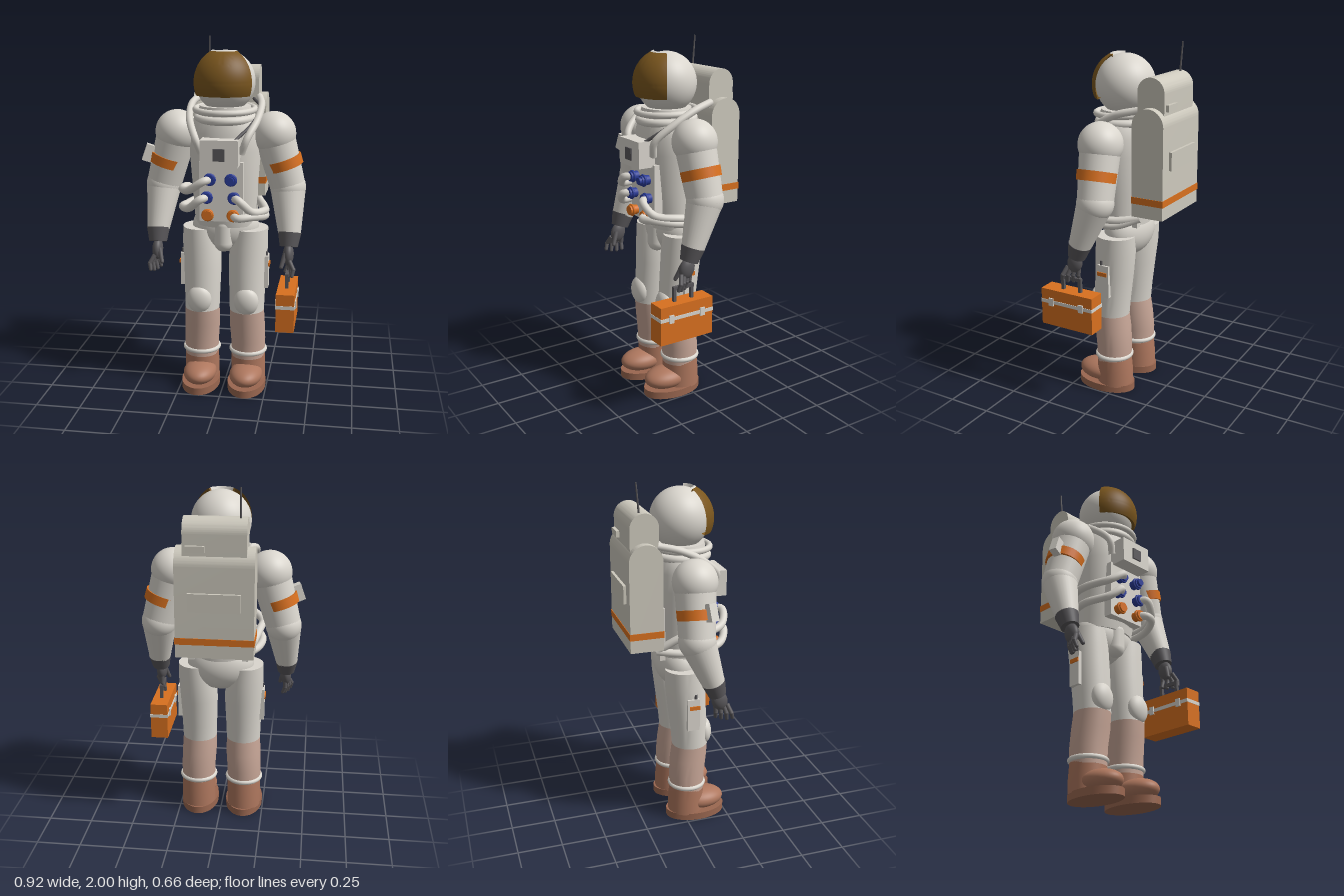
import * as THREE from 'three';
import { toCreasedNormals } from 'three/addons/utils/BufferGeometryUtils.js';

const mat = (name, color, double) => new THREE.MeshStandardMaterial({ name, color, side: double ? THREE.DoubleSide : THREE.FrontSide });
const V = (p) => new THREE.Vector3(...p);

export function createModel() {
  const model = new THREE.Group();
  model.name = 'astronaut';
  const M = {
    suit: mat('suitWhite', 0xdad6ce), pack: mat('packGrey', 0xcdc9bd), visor: mat('goldVisor', 0x7a561e, true),
    orange: mat('orange', 0xd8701f), blue: mat('blue', 0x2b3c98), dark: mat('darkGrey', 0x59575a),
    dust: mat('dustyLeg', 0xc6a596), boot: mat('boot', 0xae775e), sole: mat('sole', 0x9a6750),
  };

  const add = (name, geo, material, pos = [0, 0, 0], rot = [0, 0, 0]) => {
    const m = new THREE.Mesh(geo, material);
    m.name = name;
    m.position.set(...pos);
    m.rotation.set(...rot);
    model.add(m);
    return m;
  };
  const box = (name, size, material, pos, rot) => add(name, new THREE.BoxGeometry(...size), material, pos, rot);
  const ball = (name, radii, material, pos, rot) => {
    const m = add(name, new THREE.SphereGeometry(1, 40, 28), material, pos, rot);
    m.scale.set(...radii);
    return m;
  };
  // tapered cylinder from point a to point b
  const limb = (name, a, b, ra, rb, material) => {
    const d = V(b).sub(V(a));
    const m = add(name, new THREE.CylinderGeometry(rb, ra, d.length(), 32), material);
    m.position.copy(V(a).addScaledVector(d, 0.5));
    m.quaternion.setFromUnitVectors(new THREE.Vector3(0, 1, 0), d.normalize());
    return m;
  };
  const hose = (name, pts, r, material) =>
    add(name, new THREE.TubeGeometry(new THREE.CatmullRomCurve3(pts.map(V)), 48, r, 12), material);
  // closed body through horizontal elliptical rings [x, y, z, rx, rz], bottom to top
  const loft = (rings, n = 40) => {
    const all = [[...rings[0].slice(0, 3), 0, 0], ...rings, [...rings.at(-1).slice(0, 3), 0, 0]];
    const pos = [], idx = [];
    all.forEach(([x, y, z, rx, rz], j) => {
      for (let i = 0; i < n; i++) {
        const a = (i / n) * Math.PI * 2, k = j * n + i, k2 = j * n + ((i + 1) % n);
        pos.push(x + rx * Math.cos(a), y, z + rz * Math.sin(a));
        if (j < all.length - 1) idx.push(k, k + n, k2, k2, k + n, k2 + n);
      }
    });
    const g = new THREE.BufferGeometry();
    g.setAttribute('position', new THREE.Float32BufferAttribute(pos, 3));
    g.setIndex(idx);
    return toCreasedNormals(g, 0.8);
  };

  // helmet and visor
  ball('helmet', [0.165, 0.168, 0.165], M.suit, [0, 1.77, 0.025]);
  const arc = (r, t0, t1) => Array.from({ length: 25 }, (_, i) => {
    const t = t0 + ((t1 - t0) * i) / 24;
    return new THREE.Vector2(r * Math.sin(t), r * Math.cos(t));
  });
  const t0 = 0.48, t1 = 1.96;
  const profile = [...arc(0.185, t1, t0), ...arc(0.163, t0, t1), arc(0.185, t1, t0)[0]];
  add('visor', toCreasedNormals(new THREE.LatheGeometry(profile, 32, -1.02, 2.04), 0.6), M.visor, [0, 1.77, 0.025]);
  const rimArc = arc(0.186, t0 - 0.07, t0);
  add('visorRim', new THREE.LatheGeometry([...rimArc.reverse(), ...arc(0.165, t0 - 0.07, t0)], 32, -1.02, 2.04), M.suit, [0, 1.77, 0.025]);
  [[1.62, 0.163, 0.017], [1.575, 0.15, 0.022]].forEach(([y, R, r]) =>
    add('neckRing', new THREE.TorusGeometry(R, r, 14, 48), M.suit, [0, y, 0.025], [Math.PI / 2 + 0.04, 0, 0]));

  // torso and hips
  add('torso', loft([
    [0, 0.97, 0.01, 0.17, 0.125], [0, 1.04, 0.015, 0.175, 0.135], [0, 1.2, 0.02, 0.185, 0.15], [0, 1.4, 0.025, 0.2, 0.16],
    [0, 1.5, 0.025, 0.2, 0.16], [0, 1.56, 0.025, 0.18, 0.15], [0, 1.6, 0.025, 0.15, 0.14], [0, 1.64, 0.025, 0.14, 0.135],
  ]), M.suit);
  ball('hips', [0.19, 0.15, 0.125], M.suit, [0, 0.95, 0]);
  add('groinFlap', new THREE.CapsuleGeometry(0.053, 0.1, 10, 24), M.suit, [0, 0.925, 0.09]);

  // chest control box and connectors
  box('chestPanel', [0.24, 0.33, 0.05], M.suit, [0, 1.185, 0.155]);
  box('chestBox', [0.205, 0.145, 0.1], M.suit, [0, 1.41, 0.215]);
  box('chestScreen', [0.062, 0.066, 0.009], M.dark, [0, 1.405, 0.268]);
  [[1.26, 0.058, M.blue], [1.16, 0.075, M.blue], [1.062, 0.07, M.orange]].forEach(([y, x, m]) => {
    for (const s of [-1, 1]) {
      add('connector', new THREE.CylinderGeometry(0.027, 0.027, 0.06, 24), m, [s * x, y, 0.2], [Math.PI / 2, 0, 0]);
      add('connectorCollar', new THREE.TorusGeometry(0.027, 0.008, 10, 24), m, [s * x, y, 0.212]);
    }
  });
  add('connectorCap', new THREE.CylinderGeometry(0.02, 0.02, 0.02, 24), M.blue, [0.058, 1.26, 0.235], [Math.PI / 2, 0, 0]);

  // life support hoses
  [[-1, 0.058, 1.26, 1.18], [-1, 0.075, 1.16, 1.08], [1, 0.075, 1.16, 1.07], [1, 0.07, 1.062, 1.04]].forEach(([s, x, y, yLow]) =>
    hose('lifeSupportHose', [
      [s * x, y, 0.21], [s * (x + 0.03), y - 0.005, 0.245], [s * 0.17, yLow + 0.02, 0.215],
      [s * 0.23, yLow, 0.1], [s * 0.22, yLow - 0.01, -0.02], [s * 0.17, 1.08, -0.16],
    ], 0.022, M.suit));

  for (const s of [-1, 1]) {
    hose('shoulderHose', [
      [s * 0.17, 1.67, -0.15], [s * 0.195, 1.64, -0.03], [s * 0.185, 1.57, 0.1], [s * 0.14, 1.48, 0.19], [s * 0.11, 1.4, 0.18],
    ], 0.02, M.suit);
    box('packStrut', [0.035, 0.3, 0.03], M.suit, [s * 0.15, 1.17, -0.125]);

    // arm
    const shoulder = [s * 0.27, 1.49, 0.023], elbow = [s * 0.352, 1.19, 0.01], wrist = [s * 0.372, 0.94, 0.1];
    ball('shoulder', [0.122, 0.122, 0.122], M.suit, shoulder);
    limb('upperArm', shoulder, elbow, 0.112, 0.098, M.suit);
    limb('armBand', [s * 0.315, 1.354, 0.018], [s * 0.332, 1.302, 0.016], 0.109, 0.107, M.orange);
    ball('elbow', [0.1, 0.1, 0.102], M.suit, elbow);
    limb('forearm', elbow, wrist, 0.1, 0.062, M.suit);
    limb('gloveCuff', [s * 0.37, 0.875, 0.122], [s * 0.372, 0.95, 0.097], 0.05, 0.065, M.dark);

    // hand with four fingers and a thumb
    ball('palm', [0.03, 0.06, 0.045], M.dark, [s * 0.37, 0.835, 0.135], [-0.3, 0, 0]);
    for (let i = 0; i < 4; i++) {
      const k = i - 1.5;
      const a = [s * (0.372 + 0.004 * k), 0.81, 0.145 + 0.021 * k];
      const b = [s * (0.385 + 0.012 * k), 0.765, 0.155 + 0.026 * k];
      const c = [s * (0.375 + 0.014 * k), 0.72 + 0.008 * Math.abs(k), 0.162 + 0.028 * k];
      limb('finger', a, b, 0.013, 0.012, M.dark);
      limb('fingertip', b, c, 0.012, 0.01, M.dark);
      ball('fingerEnd', [0.01, 0.01, 0.01], M.dark, c);
      ball('knuckle', [0.0125, 0.0125, 0.0125], M.dark, b);
    }
    limb('thumb', [s * 0.355, 0.845, 0.155], [s * 0.335, 0.775, 0.185], 0.015, 0.011, M.dark);
    ball('thumbEnd', [0.011, 0.011, 0.011], M.dark, [s * 0.335, 0.775, 0.185]);

    // leg
    const x = s * 0.13;
    add('thigh', loft([
      [x, 0.47, 0.045, 0.099, 0.103], [x, 0.56, 0.04, 0.102, 0.106], [x, 0.72, 0.025, 0.108, 0.11],
      [s * 0.135, 0.85, 0.015, 0.11, 0.115], [s * 0.142, 0.95, 0.01, 0.102, 0.112],
    ]), M.suit);
    add('lowerLeg', loft([
      [s * 0.137, 0.18, 0.025, 0.098, 0.1], [s * 0.137, 0.28, 0.025, 0.1, 0.103], [s * 0.132, 0.38, 0.035, 0.102, 0.106], [x, 0.47, 0.045, 0.099, 0.103],
    ]), M.dust);
    ball('kneePad', [0.07, 0.082, 0.045], M.suit, [s * 0.135, 0.54, 0.125]);
    box('thighPocket', [0.03, 0.19, 0.07], M.suit, [s * 0.237, 0.7, 0.03]);
    box('pocketTag', [0.008, 0.022, 0.06], M.orange, [s * 0.255, 0.745, 0.035]);
    limb('pocketTool', [s * 0.24, 0.72, 0.045], [s * 0.24, 0.82, 0.045], 0.008, 0.008, M.dark);

    // boot
    add('ankleRing', new THREE.TorusGeometry(0.097, 0.014, 12, 40), M.suit, [s * 0.137, 0.215, 0.025], [Math.PI / 2, 0, 0]);
    add('bootShaft', loft([
      [s * 0.137, 0.035, 0.02, 0.1, 0.106], [s * 0.137, 0.12, 0.02, 0.1, 0.104], [s * 0.137, 0.205, 0.025, 0.098, 0.1],
    ]), M.boot);
    ball('bootToe', [0.095, 0.062, 0.135], M.boot, [s * 0.135, 0.09, 0.115]);
    add('bootSole', loft([[s * 0.135, 0, 0.078, 0.11, 0.176], [s * 0.135, 0.042, 0.078, 0.11, 0.176]]), M.sole);
  }

  // thin cable over the left shoulder
  hose('cable', [[0.14, 1.66, -0.14], [0.19, 1.63, 0.01], [0.165, 1.56, 0.12], [0.08, 1.475, 0.215]], 0.009, M.dark);

  // arm box on the right sleeve
  box('sleeveBox', [0.055, 0.095, 0.045], M.suit, [-0.425, 1.37, 0.06], [0, 0.25, -0.34]);

  // backpack with rounded tops
  const packBody = (name, width, z, depth, y0, y1) => {
    const r = depth / 2, s = new THREE.Shape();
    s.moveTo(z - r, y0);
    s.lineTo(z + r, y0);
    s.lineTo(z + r, y1 - r);
    s.absarc(z, y1 - r, r, 0, Math.PI, false);
    s.closePath();
    const g = new THREE.ExtrudeGeometry(s, { depth: width, bevelEnabled: false, curveSegments: 24 });
    g.translate(0, 0, -width / 2).rotateY(-Math.PI / 2);
    add(name, toCreasedNormals(g, 0.5), M.pack);
  };
  packBody('backpack', 0.42, -0.223, 0.185, 1.1, 1.69);
  packBody('oxygenUnit', 0.335, -0.219, 0.158, 1.5, 1.845);
  box('packStripe', [0.426, 0.037, 0.191], M.orange, [0, 1.192, -0.223]);
  box('packPlate', [0.28, 0.1, 0.02], M.pack, [0, 1.41, -0.321]);
  box('packLatch', [0.1, 0.035, 0.025], M.pack, [0.1, 1.69, -0.303]);
  limb('antenna', [-0.13, 1.82, -0.235], [-0.13, 2, -0.25], 0.006, 0.004, M.dark);

  // tool case in the left hand
  box('toolCase', [0.1, 0.215, 0.33], M.orange, [0.37, 0.5575, 0.165]);
  box('caseStrap', [0.106, 0.02, 0.334], M.suit, [0.37, 0.592, 0.165]);
  for (const z of [0.07, 0.265]) box('caseClasp', [0.116, 0.045, 0.03], M.suit, [0.37, 0.592, z]);
  for (const z of [0.105, 0.215]) box('handlePost', [0.018, 0.08, 0.018], M.dark, [0.37, 0.7, z]);
  box('handleBar', [0.02, 0.02, 0.128], M.dark, [0.37, 0.738, 0.16]);

  return model;
}
